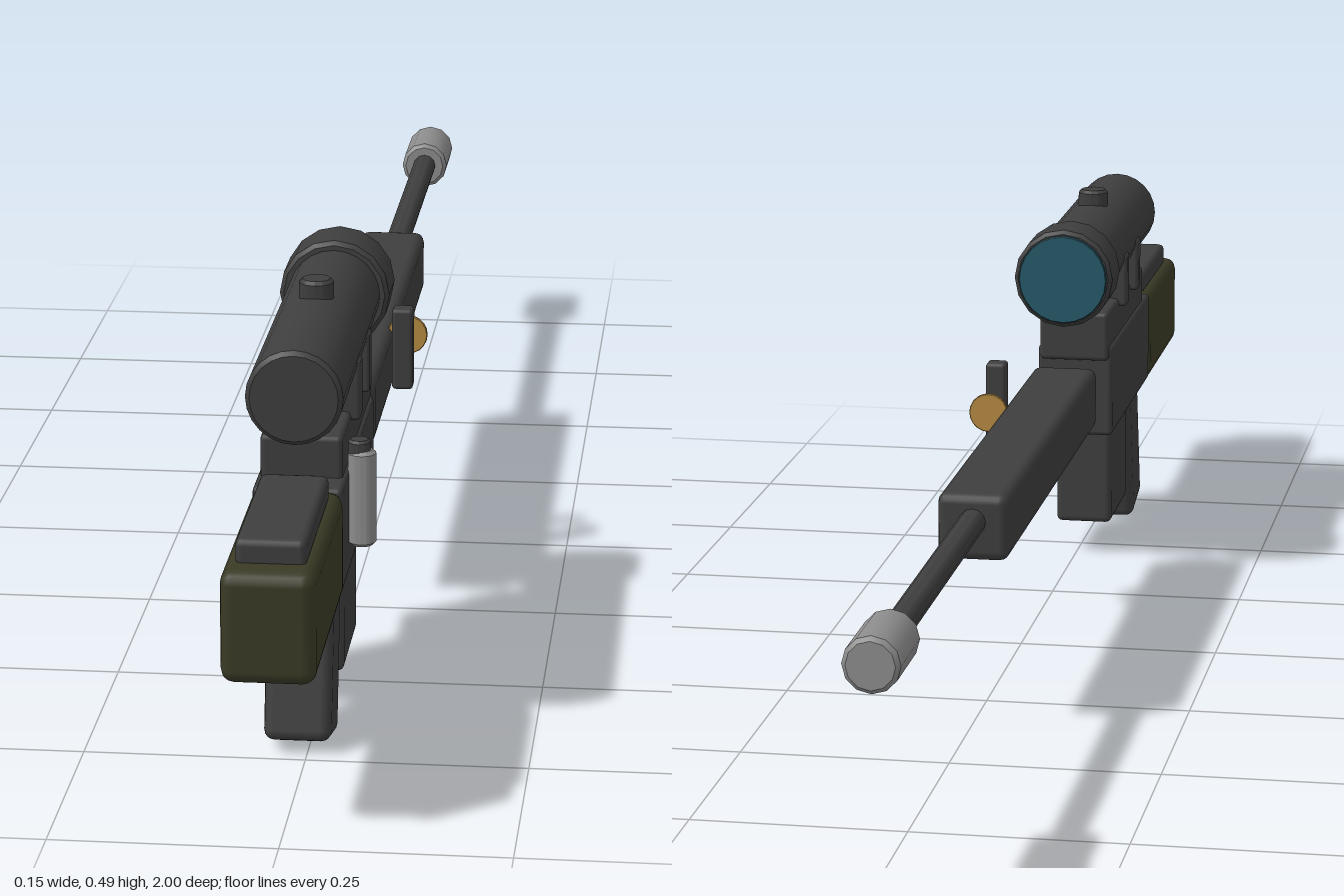
import * as THREE from 'three';
import { toCreasedNormals } from 'three/addons/utils/BufferGeometryUtils.js';
import { RoundedBoxGeometry } from 'three/addons/geometries/RoundedBoxGeometry.js';

const CX = -0.011; // centre line of the body

function material(name, color) {
  const m = new THREE.MeshStandardMaterial({ color });
  m.name = name;
  return m;
}

export function createModel() {
  const group = new THREE.Group();
  group.name = 'scopedRifle';
  const dark = material('dark metal', 0x3e3e3e);
  const olive = material('olive stock', 0x3a3a26);
  const steel = material('light steel', 0x8c8c8c);
  const brass = material('brass', 0xb58a42);
  const glass = material('lens glass', 0x265868);

  function add(name, geometry, mat, x, y, z) {
    const mesh = new THREE.Mesh(geometry, mat);
    mesh.name = name;
    mesh.position.set(x, y, z);
    group.add(mesh);
    return mesh;
  }

  // Box with softened edges, given by its ranges in y and z
  function box(name, mat, width, [y0, y1], [z0, z1], bevel = 0.01, x = CX) {
    const g = new RoundedBoxGeometry(width, y1 - y0, z1 - z0, 2, bevel);
    return add(name, g, mat, x, (y0 + y1) / 2, (z0 + z1) / 2);
  }

  // Upright cylinder with chamfered rims, centred on its middle
  function rod(radius, length, sides, c) {
    const h = length / 2;
    const profile = [[0, -h], [radius - c, -h], [radius, c - h], [radius, h - c], [radius - c, h], [0, h]]
      .map(([x, y]) => new THREE.Vector2(x, y));
    return toCreasedNormals(new THREE.LatheGeometry(profile, sides), 0.55);
  }

  // Cylinder lying along z
  function tube(name, mat, radius, y, [z0, z1], sides, c = 0.005, x = CX) {
    const g = rod(radius, z1 - z0, sides, c).rotateX(Math.PI / 2);
    return add(name, g, mat, x, y, (z0 + z1) / 2);
  }

  // Stock and cheek rest
  box('stock', olive, 0.102, [0.186, 0.311], [0.715, 1.0], 0.015);
  box('cheekRest', dark, 0.076, [0.305, 0.337], [0.74, 0.965], 0.008);

  // Receiver
  box('receiver', dark, 0.1, [0.19, 0.313], [0.366, 0.722], 0.006);
  box('upperReceiver', dark, 0.092, [0.295, 0.361], [0.355, 0.682], 0.006);
  box('scopeRail', dark, 0.064, [0.35, 0.374], [0.45, 0.6], 0.004);

  // Grip and magazine
  const grip = add('grip', new RoundedBoxGeometry(0.076, 0.215, 0.087, 2, 0.012), dark, CX, 0.115, 0.673);
  grip.rotation.x = -0.23;
  box('magazine', dark, 0.075, [0.048, 0.181], [0.443, 0.592], 0.008);

  // Bolt handle
  add('boltHandle', rod(0.016, 0.112, 16, 0.004), steel, 0.053, 0.279, 0.642);
  add('boltCap', rod(0.013, 0.02, 12, 0.003), dark, 0.05, 0.337, 0.642);

  // Scope on two mounts
  tube('scopeTube', dark, 0.054, 0.425, [0.32, 0.75], 24);
  tube('scopeBell', dark, 0.065, 0.425, [0.262, 0.336], 16);
  tube('scopeLens', glass, 0.058, 0.425, [0.257, 0.265], 24, 0.001);
  add('scopeKnob', rod(0.02, 0.04, 14, 0.004), dark, CX, 0.478, 0.522);
  for (const z of [0.468, 0.574]) {
    box('scopeMount', dark, 0.113, [0.35, 0.422], [z - 0.014, z + 0.014], 0.005);
  }

  // Handguard, barrel and muzzle
  box('handguard', dark, 0.085, [0.222, 0.303], [-0.405, 0.285], 0.012);
  tube('barrel', dark, 0.016, 0.27, [-0.93, -0.38], 12, 0.002);
  tube('muzzle', steel, 0.032, 0.27, [-1.0, -0.887], 12, 0.005);

  // Side lever and brass disc
  box('sideLever', dark, 0.026, [0.243, 0.346], [0.097, 0.123], 0.005, 0.05);
  tube('brassDisc', brass, 0.025, 0.293, [0.046, 0.051], 20, 0.001, 0.05);

  return group;
}
